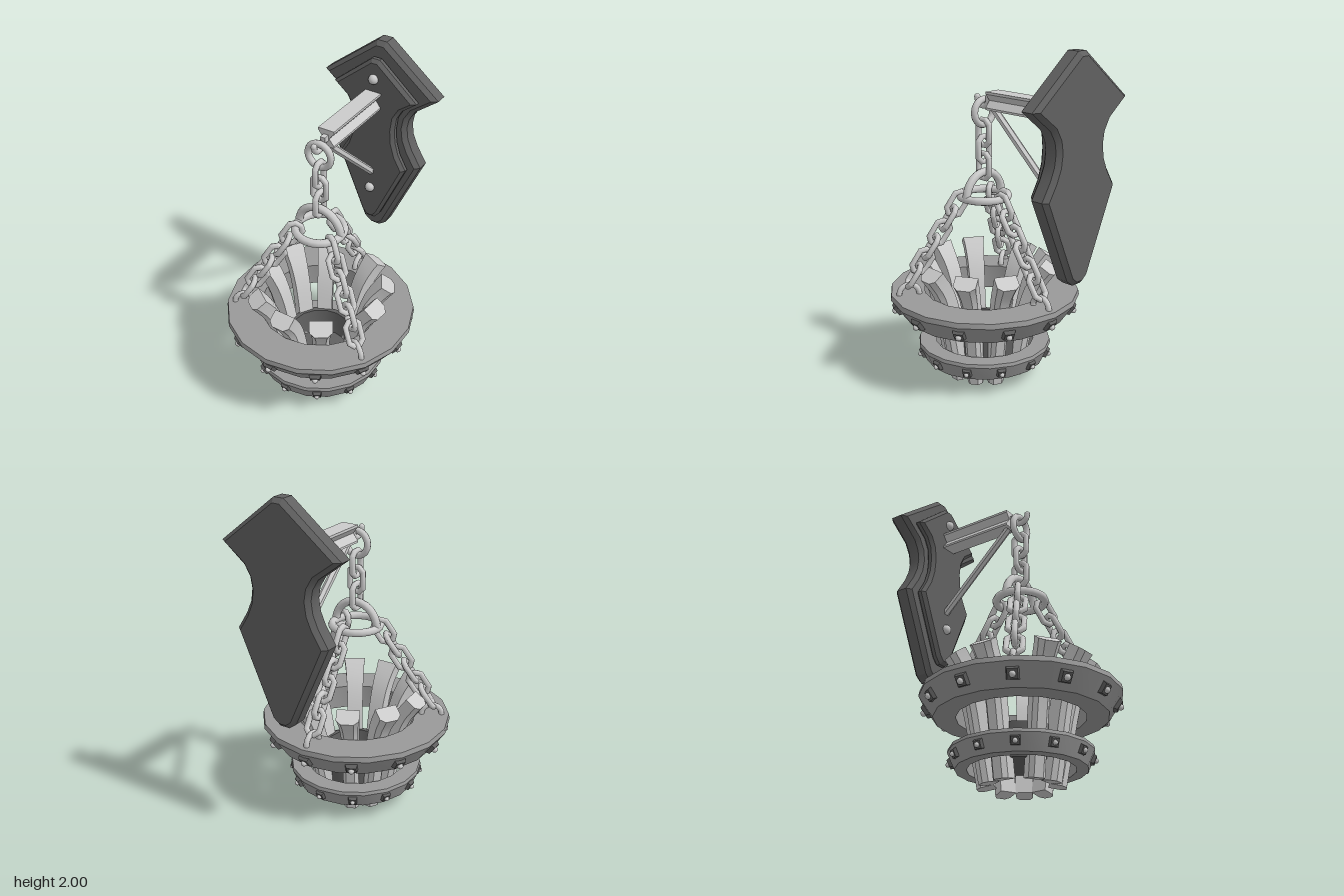
import * as THREE from 'three';
import { toCreasedNormals } from 'three/addons/utils/BufferGeometryUtils.js';

const iron = new THREE.MeshStandardMaterial({ color: 0xcccccc });
const band = new THREE.MeshStandardMaterial({ color: 0x999999 });
const dark = new THREE.MeshStandardMaterial({ color: 0x606060 });
const CZ = 0.085; // z of the basket axis

function add(parent, name, geometry, material = iron) {
  const mesh = new THREE.Mesh(geometry, material);
  mesh.name = name;
  parent.add(mesh);
  return mesh;
}

function group(parent, name) {
  const g = new THREE.Group();
  g.name = name;
  parent.add(g);
  return g;
}

const shapeOf = (pts) => new THREE.Shape(pts.map(([x, y]) => new THREE.Vector2(x, y)));
const crease = (g, angle = 0.5) => toCreasedNormals(g, angle);

// Closed ring turned from an [r, y] cross-section
function turned(pts, sides) {
  return crease(new THREE.LatheGeometry([...pts, pts[0]].map(([r, y]) => new THREE.Vector2(r, y)), sides));
}

// Bevelled wall plate; the right half outline is mirrored
function plate(half, zBack, zFront, bevel) {
  const mirrored = half.map(([x, y]) => [-x, y]).reverse();
  const g = new THREE.ExtrudeGeometry(shapeOf([...half, ...mirrored]), {
    depth: zFront - zBack - 2 * bevel, bevelSize: bevel, bevelThickness: bevel,
    bevelOffset: -bevel, bevelSegments: 1,
  });
  g.translate(0, 0, zBack + bevel);
  return crease(g, 0.4);
}

// Elongated eight-sided chain link lying in the xy plane, long axis y
function linkGeometry() {
  const g = new THREE.TorusGeometry(0.046, 0.018, 8, 8);
  g.rotateZ(Math.PI / 8);
  const p = g.attributes.position;
  for (let i = 0; i < p.count; i++) p.setY(i, p.getY(i) + Math.sign(p.getY(i)) * 0.03);
  return crease(g, 0.9);
}

// Flared stave: chamfered section swept along a curve in the yz plane
function staveGeometry() {
  const path = new THREE.SplineCurve([[0.19, 0.01], [0.235, 0.25], [0.275, 0.45], [0.325, 0.59], [0.402, 0.702]]
    .map(([r, y]) => new THREE.Vector2(r, y)));
  const section = shapeOf([[-0.5, 0.048], [-0.5, -0.022], [-0.28, -0.048], [0.28, -0.048], [0.5, -0.022], [0.5, 0.048]]);
  const g = new THREE.ExtrudeGeometry(section, { depth: 1, steps: 10, bevelEnabled: false });
  g.rotateX(-Math.PI / 2);
  const p = g.attributes.position;
  for (let i = 0; i < p.count; i++) {
    const t = THREE.MathUtils.clamp(p.getY(i), 0, 1), off = p.getZ(i);
    const c = path.getPoint(t), d = path.getTangent(t);
    p.setXYZ(i, p.getX(i) * (0.092 + 0.04 * t ** 4), c.y - d.x * off, c.x + d.y * off);
  }
  return crease(g, 0.4);
}

// Square studs with round heads on a sloping band
function addStuds(parent, r, y, size, slope) {
  const base = new THREE.CylinderGeometry(size * 0.52, size * 0.707, 0.03, 4);
  base.rotateY(Math.PI / 4).rotateX(Math.PI / 2);
  const flat = crease(base, 0.3);
  const head = new THREE.SphereGeometry(size * 0.24, 10, 8);
  for (let i = 0; i < 12; i++) {
    const stud = group(parent, 'stud');
    const a = i * Math.PI / 6;
    stud.position.set(Math.sin(a) * r, y, Math.cos(a) * r);
    stud.rotation.set(slope, a, 0, 'YXZ');
    add(stud, 'studPlate', flat, dark);
    add(stud, 'studHead', head).position.z = 0.018;
  }
}

export function createModel() {
  const model = new THREE.Group();
  model.name = 'hangingWallBrazier';

  // Wall plaque, raised panel and bolts
  const wall = group(model, 'wallMount');
  add(wall, 'backPlaque', plate([[0.03, 0.745], [0.075, 0.78], [0.288, 1.26], [0.225, 1.36], [0.195, 1.43],
    [0.185, 1.5], [0.195, 1.56], [0.23, 1.62], [0.37, 1.73], [0.03, 2]], -0.645, -0.525, 0.025), dark);
  add(wall, 'frontPanel', plate([[0.025, 0.84], [0.06, 0.88], [0.222, 1.25], [0.17, 1.34], [0.145, 1.42],
    [0.138, 1.5], [0.147, 1.58], [0.18, 1.64], [0.268, 1.71], [0.025, 1.915]], -0.53, -0.467, 0.02), dark);
  for (const y of [1.8, 1.07]) {
    add(wall, 'bolt', new THREE.SphereGeometry(0.03, 12, 8)).position.set(0, y, -0.465);
  }

  // Arm with a waisted section, and its diagonal brace
  const arm = new THREE.ExtrudeGeometry(shapeOf([[-0.05, 1.62], [0.05, 1.62], [0.05, 1.632], [0.02, 1.67],
    [0.05, 1.708], [0.05, 1.722], [-0.05, 1.722], [-0.05, 1.708], [-0.02, 1.67], [-0.05, 1.632]]),
  { depth: 0.5, bevelEnabled: false });
  add(wall, 'arm', crease(arm)).position.z = -0.48;
  const from = new THREE.Vector3(0, 1.62, 0), to = new THREE.Vector3(0, 1.18, -0.475);
  const brace = add(wall, 'brace', crease(new THREE.CylinderGeometry(0.022, 0.022, from.distanceTo(to), 6)));
  brace.position.copy(from).lerp(to, 0.5);
  brace.quaternion.setFromUnitVectors(new THREE.Vector3(0, 1, 0), from.clone().sub(to).normalize());

  // Hook at the arm's tip
  const hook = add(wall, 'hook', new THREE.TorusGeometry(0.047, 0.017, 8, 10, Math.PI));
  hook.rotation.set(Math.PI, Math.PI / 2, 0, 'YXZ');
  hook.position.set(0, 1.675, 0.09);
  add(wall, 'hookTip', new THREE.SphereGeometry(0.018, 8, 6)).position.set(0, 1.675, 0.137);
  add(wall, 'hookRoot', new THREE.BoxGeometry(0.03, 0.035, 0.05)).position.set(0, 1.675, 0.03);

  const hanging = group(model, 'hangingBasket');
  hanging.position.z = CZ;

  // Upper chain, handle and spreader ring
  const link = linkGeometry();
  add(hanging, 'topRing', new THREE.TorusGeometry(0.073, 0.02, 8, 20)).position.y = 1.595;
  [1.475, 1.38, 1.28].forEach((y, i) => {
    const l = add(hanging, 'chainLink', link);
    l.position.y = y;
    l.rotation.y = i % 2 ? 0 : Math.PI / 2;
  });
  add(hanging, 'handle', new THREE.TorusGeometry(0.14, 0.024, 8, 14, Math.PI)).position.y = 1.105;
  const spreader = add(hanging, 'spreaderRing', new THREE.TorusGeometry(0.14, 0.024, 8, 24));
  spreader.position.y = 1.105;
  spreader.rotation.x = Math.PI / 2;

  // Three side chains, each ending in a loop on the upper band
  for (const deg of [60, 180, 300]) {
    const chain = group(hanging, 'sideChain');
    chain.rotation.y = THREE.MathUtils.degToRad(deg);
    for (let i = 0; i < 6; i++) {
      const t = i / 5;
      const l = add(chain, 'chainLink', link);
      l.position.set(0, 1.065 - 0.415 * t, 0.16 + 0.265 * t);
      l.rotation.set(-Math.atan2(0.265, 0.415), i % 2 ? 0 : Math.PI / 2, 0);
    }
    const loop = add(chain, 'endLoop', new THREE.TorusGeometry(0.06, 0.017, 8, 10, Math.PI));
    loop.rotation.y = Math.PI / 2;
    loop.position.set(0, 0.535, 0.455);
  }

  // Upper and lower bands with studs
  const bands = group(hanging, 'bands');
  add(bands, 'upperBand', turned([[0.36, 0.39], [0.485, 0.39], [0.565, 0.505], [0.56, 0.535], [0.36, 0.535]], 18), band);
  add(bands, 'lowerBand', turned([[0.295, 0.1], [0.36, 0.1], [0.4, 0.19], [0.395, 0.21], [0.295, 0.21]], 18), band);
  addStuds(bands, 0.527, 0.45, 0.075, 0.61);
  addStuds(bands, 0.381, 0.15, 0.058, 0.42);

  // Fire cup
  add(hanging, 'cup', crease(new THREE.LatheGeometry([[0, 0.12], [0.2, 0.12], [0.215, 0.31], [0.185, 0.31],
    [0.17, 0.15], [0, 0.15]].map(([r, y]) => new THREE.Vector2(r, y)), 16)), dark);

  // Staves in three groups of three, between the chains
  const stave = staveGeometry();
  for (const centre of [0, 120, 240]) {
    for (const offset of [-34, 0, 34]) {
      add(hanging, 'stave', stave).rotation.y = THREE.MathUtils.degToRad(centre + offset);
    }
  }
  return model;
}
